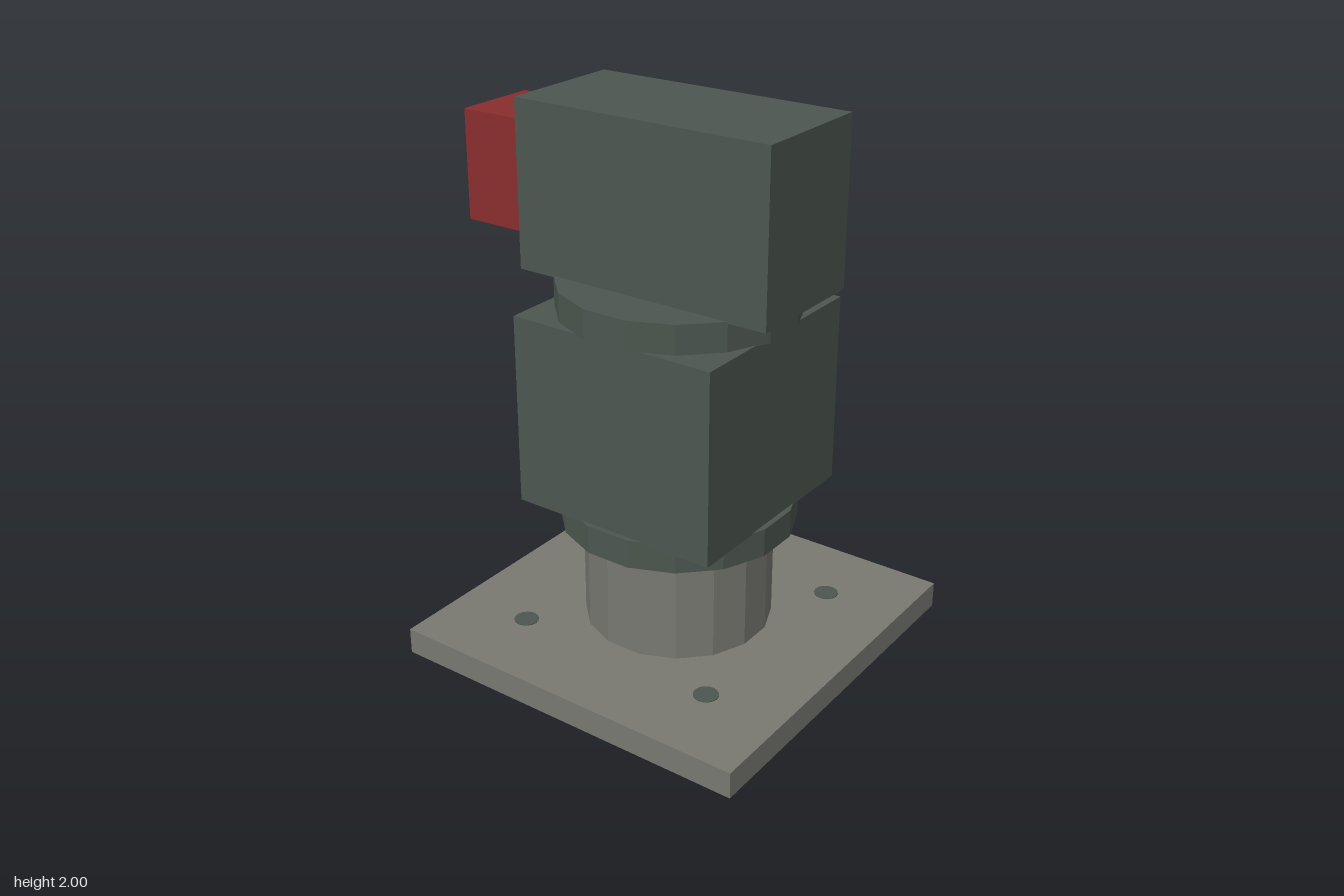
import * as THREE from 'three';

const CX = 0.05; // axis of the stand

function material(name, color) {
  const m = new THREE.MeshStandardMaterial({ color });
  m.name = name;
  return m;
}

export function createModel() {
  const group = new THREE.Group();
  const green = material('dark green paint', 0x4c564f);
  const grey = material('warm grey metal', 0x797972);
  const red = material('dark red', 0x8a2d2d);

  const add = (name, geometry, mat, x, y, z = 0) => {
    const mesh = new THREE.Mesh(geometry, mat);
    mesh.name = name;
    mesh.position.set(x, y, z);
    group.add(mesh);
    return mesh;
  };
  // Box from its lowest and highest y
  const box = (name, mat, w, d, y0, y1, x = CX) =>
    add(name, new THREE.BoxGeometry(w, y1 - y0, d), mat, x, (y0 + y1) / 2);
  // Sixteen-sided faceted drum with flats facing the axes; apothem is the distance to a flat
  const drum = (name, mat, apothem, y0, y1) => {
    const r = apothem / Math.cos(Math.PI / 16);
    const g = new THREE.CylinderGeometry(r, r, y1 - y0, 16).rotateY(Math.PI / 16).toNonIndexed();
    g.computeVertexNormals();
    return add(name, g, mat, CX, (y0 + y1) / 2);
  };

  // Stand
  box('basePlate', grey, 1.4, 1.4, 0.002, 0.1);
  drum('column', grey, 0.338, 0.1, 0.5);

  // Bolts through the plate, barely proud of both faces
  for (const sx of [-1, 1]) {
    for (const sz of [-1, 1]) {
      add('baseBolt', new THREE.CylinderGeometry(0.045, 0.045, 0.103, 16), green, CX + sx * 0.4, 0.0515, sz * 0.4);
    }
  }

  // Body stack
  drum('lowerFlange', green, 0.42, 0.5, 0.605);
  box('body', green, 0.8, 0.8, 0.6, 1.3);
  drum('upperFlange', green, 0.42, 1.295, 1.405);
  box('head', green, 1.0, 0.48, 1.4, 2.0);

  // Side block with small grey pins showing on its top and front
  box('sideBlock', red, 0.3, 0.32, 1.5, 1.9, -0.6);
  add('topPin', new THREE.CylinderGeometry(0.025, 0.025, 0.004, 12), grey, -0.473, 1.9, -0.025);
  add('frontPin', new THREE.CylinderGeometry(0.03, 0.03, 0.004, 12).rotateX(Math.PI / 2), grey, -0.47, 1.6, 0.16);

  return group;
}
